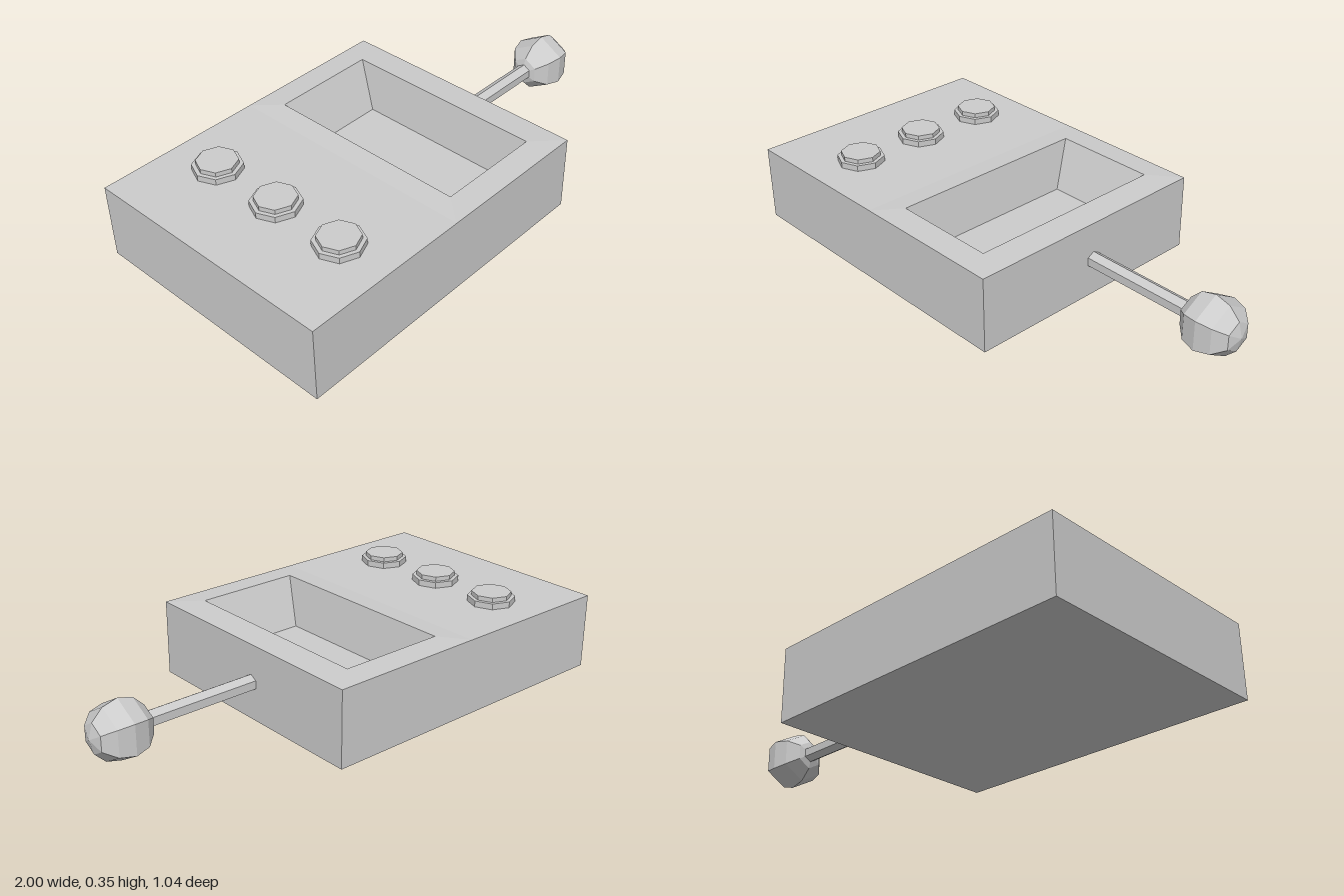
import * as THREE from 'three';

const material = new THREE.MeshStandardMaterial({ color: 0xcccccc, flatShading: true });

function addMesh(parent, geometry, name, x = 0, y = 0, z = 0) {
  const mesh = new THREE.Mesh(geometry, material);
  mesh.name = name;
  mesh.position.set(x, y, z);
  parent.add(mesh);
  return mesh;
}

// Four corners of a level rectangle, counter-clockwise seen from above
function rect(x0, x1, z, y) {
  return [[x0, y, z], [x1, y, z], [x1, y, -z], [x0, y, -z]];
}

// Housing with a slightly raised rim around a sloped, sunken tray
function housingGeometry() {
  const points = [];
  const quad = (a, b, c, d) => points.push(...a, ...b, ...c, ...a, ...c, ...d);
  const bridge = (lower, upper) => {
    for (let i = 0; i < 4; i++) {
      const j = (i + 1) % 4;
      quad(lower[i], lower[j], upper[j], upper[i]);
    }
  };
  const bottom = rect(-1, 0.315, 0.52, 0);
  const top = rect(-1, 0.315, 0.52, 0.305);
  const surround = rect(-0.32, 0.315, 0.52, 0.305);
  const rim = rect(-0.232, 0.2, 0.417, 0.311);
  const floor = rect(-0.195, 0.168, 0.334, 0.12);

  quad(...[...bottom].reverse());
  bridge(bottom, top);
  quad(...rect(-1, -0.32, 0.52, 0.305)); // button deck
  bridge(surround, rim);
  bridge(rim, floor);
  quad(...floor);

  const geometry = new THREE.BufferGeometry();
  geometry.setAttribute('position', new THREE.Float32BufferAttribute(points, 3));
  geometry.computeVertexNormals();
  return geometry;
}

export function createModel() {
  const model = new THREE.Group();
  model.name = 'leverPanel';

  addMesh(model, housingGeometry(), 'housing');

  // Row of stepped octagonal buttons
  for (const z of [-0.307, -0.003, 0.301]) {
    const button = new THREE.Group();
    button.name = 'button';
    button.position.set(-0.662, 0.305, z);
    addMesh(button, new THREE.CylinderGeometry(0.094, 0.094, 0.024, 8), 'buttonCollar', 0, 0.012);
    addMesh(button, new THREE.CylinderGeometry(0.078, 0.078, 0.042, 8), 'buttonCap', 0, 0.021);
    model.add(button);
  }

  // Side lever: six-sided rod and faceted knob, both along x
  const lever = new THREE.Group();
  lever.name = 'lever';
  lever.position.set(0, 0.15, -0.02);
  const rod = new THREE.CylinderGeometry(0.033, 0.033, 0.5, 6).rotateY(Math.PI / 2).rotateZ(-Math.PI / 2);
  addMesh(lever, rod, 'leverRod', 0.55);
  const knob = new THREE.SphereGeometry(0.12, 6, 6).rotateZ(-Math.PI / 2);
  addMesh(lever, knob, 'leverKnob', 0.88);
  model.add(lever);

  return model;
}
